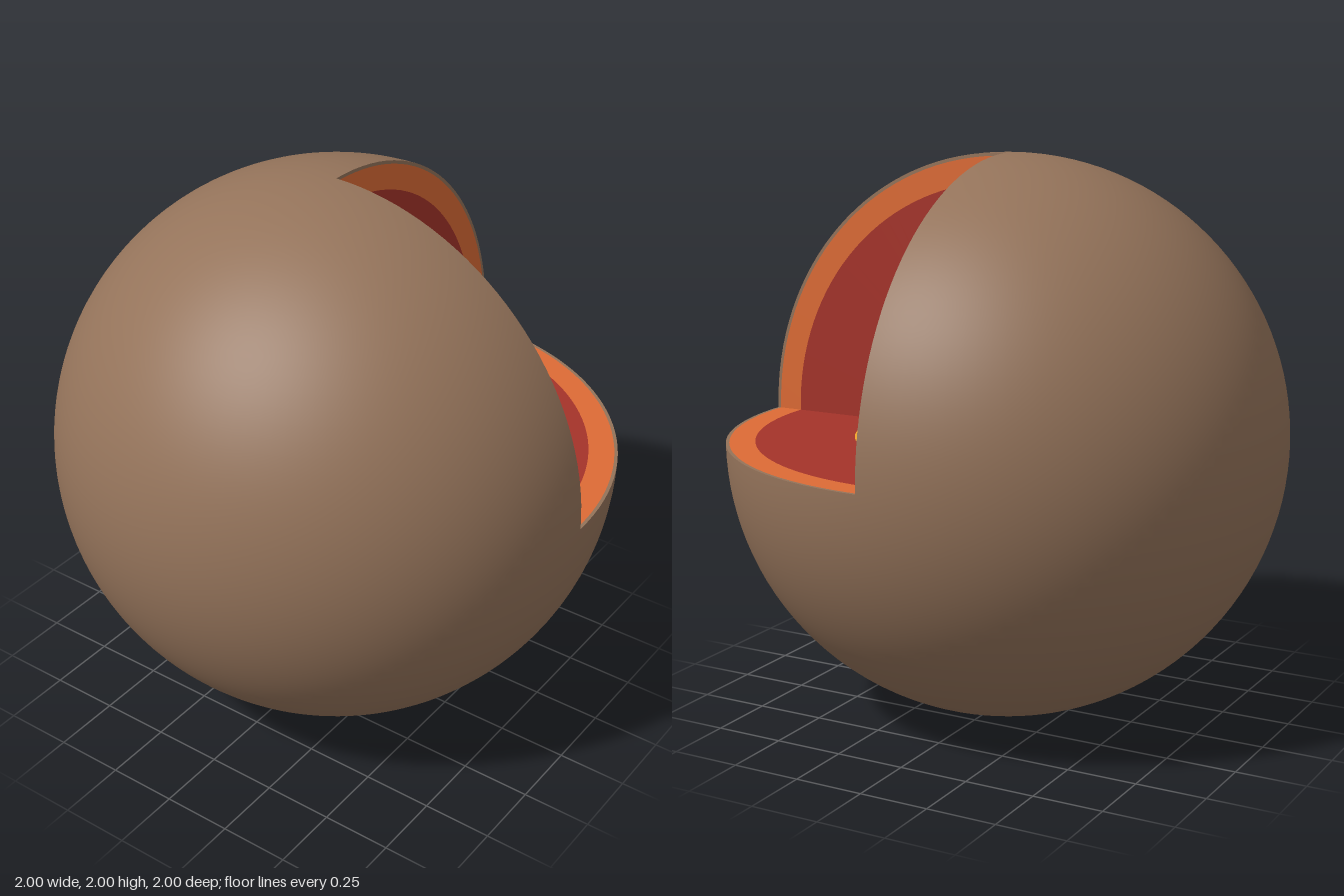
import * as THREE from 'three';

const CRUST = 0x94735a;
// name, outer radius, colour, from the centre outwards
const LAYERS = [
  ['innerCore', 0.193, 0xffe27a],
  ['outerCore', 0.547, 0xf2a52c],
  ['lowerMantle', 0.897, 0xa5332a],
  ['upperMantle', 0.988, 0xdd6b35],
  ['crust', 1, CRUST],
];

function addMesh(parent, name, geometry, color) {
  const mesh = new THREE.Mesh(geometry, new THREE.MeshStandardMaterial({ color }));
  mesh.name = name;
  parent.add(mesh);
}

export function createModel() {
  const model = new THREE.Group();
  model.name = 'cutawayPlanet';
  const H = Math.PI / 2;

  // Outer surface: full lower half, and three quarters of the upper half
  const surface = new THREE.Group();
  surface.name = 'surface';
  addMesh(surface, 'lowerSurface', new THREE.SphereGeometry(1, 128, 32, 0, 4 * H, H, H), CRUST);
  addMesh(surface, 'upperSurface', new THREE.SphereGeometry(1, 96, 32, 2 * H, 3 * H, 0, H), CRUST);
  model.add(surface);

  // Three banded quarter discs, each turned a third about the cut's diagonal
  const diagonal = new THREE.Vector3(1, 1, 1).normalize();
  ['backCut', 'sideCut', 'floorCut'].forEach((name, i) => {
    const cut = new THREE.Group();
    cut.name = name;
    let inner = 0;
    for (const [layer, outer, color] of LAYERS) {
      const geometry = inner === 0
        ? new THREE.CircleGeometry(outer, 32, 0, H)
        : new THREE.RingGeometry(inner, outer, 32, 1, 0, H);
      addMesh(cut, layer, geometry, color);
      inner = outer;
    }
    cut.quaternion.setFromAxisAngle(diagonal, i * Math.PI * 2 / 3);
    model.add(cut);
  });

  model.position.y = 1;
  const root = new THREE.Group();
  root.add(model);
  return root;
}
